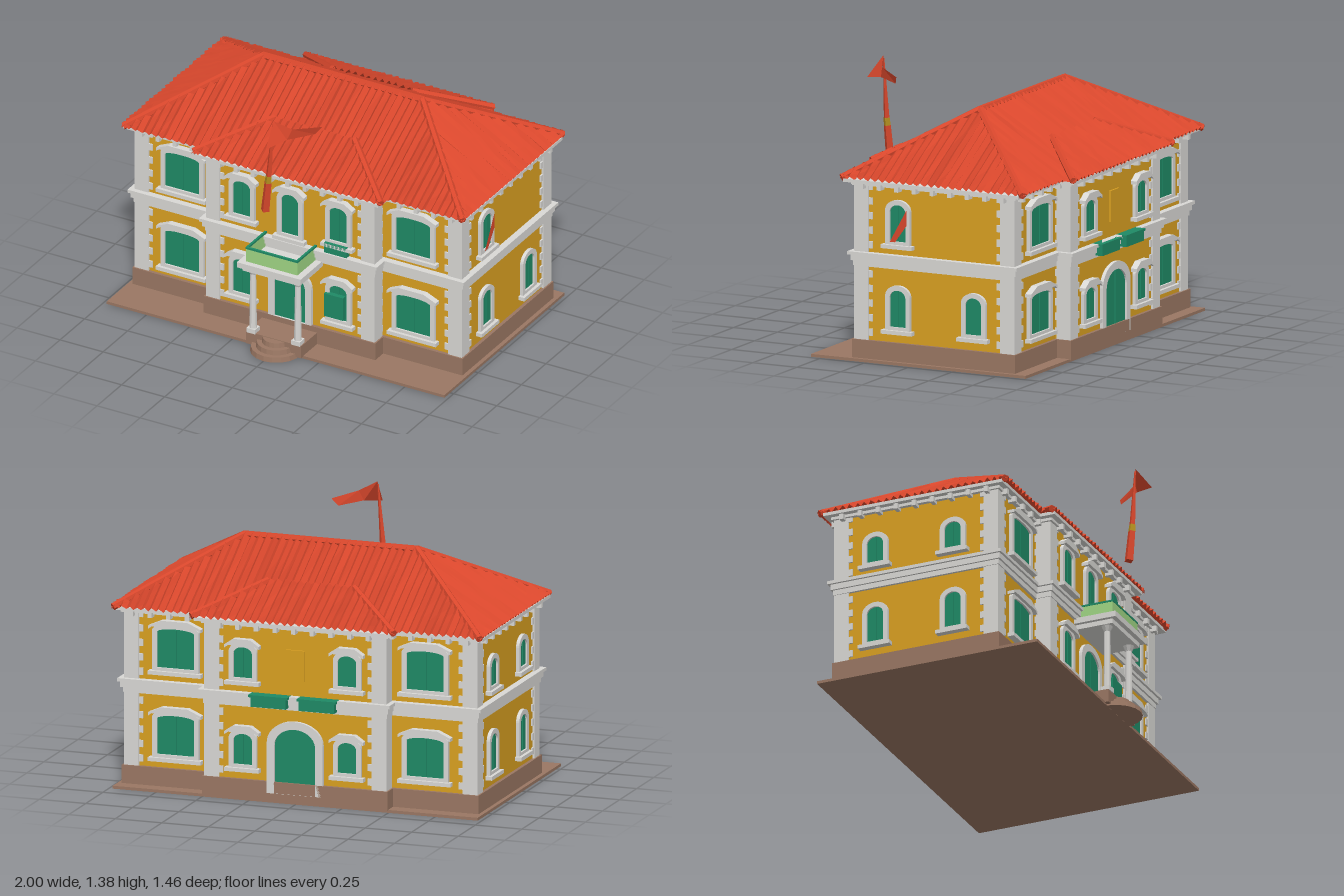
import * as THREE from 'three';

const mat = (name, color, side = THREE.FrontSide) => {
  const m = new THREE.MeshStandardMaterial({ color, side, flatShading: true });
  m.name = name;
  return m;
};
const V = (x, y, z) => new THREE.Vector3(x, y, z);

export function createModel() {
  const M = {
    wall: mat('ochre wall', 0xd9a021),
    trim: mat('white trim', 0xd9d8d5),
    green: mat('shutter green', 0x1f8a66),
    red: mat('roof red', 0xd9472c, THREE.DoubleSide),
    brown: mat('ground brown', 0x9a7763),
    pale: mat('pale green', 0xa0d684),
    gold: mat('flag gold', 0xb5901f),
  };
  const house = new THREE.Group();
  house.name = 'house';
  let seed = 7;
  const rnd = () => (seed = (seed * 16807) % 2147483647) / 2147483647 - 0.5;

  function add(parent, name, geo, m, x = 0, y = 0, z = 0) {
    const mesh = new THREE.Mesh(geo, m);
    mesh.name = name;
    mesh.position.set(x, y, z);
    parent.add(mesh);
    return mesh;
  }
  const box = (p, name, m, w, h, d, x, y, z) => add(p, name, new THREE.BoxGeometry(w, h, d), m, x, y, z);
  const extrude = (shape, depth) =>
    new THREE.ExtrudeGeometry(shape, { depth, bevelEnabled: false, curveSegments: 10 });
  function rod(p, name, m, a, b, r0, r1 = r0, sides = 6) {
    const d = b.clone().sub(a);
    const mesh = add(p, name, new THREE.CylinderGeometry(r1, r0, d.length(), sides), m);
    mesh.position.copy(a).add(b).multiplyScalar(0.5);
    mesh.quaternion.setFromUnitVectors(V(0, 1, 0), d.normalize());
  }
  function sheet(p, name, m, pts, index) {
    const g = new THREE.BufferGeometry().setFromPoints(pts);
    g.setIndex(index);
    g.computeVertexNormals();
    return add(p, name, g, m);
  }

  // Storeys follow one plan: long body with a shallow bay front and back
  const CZ = -0.125, WX = 0.94, WZ = 0.445, BX = 0.48, BZ = 0.525;
  function storey(name, m, off, y0, y1) {
    const a = WX + off, b = WZ + off, c = BX + off, d = BZ + off;
    const pts = [[-a, -b], [-c, -b], [-c, -d], [c, -d], [c, -b], [a, -b],
      [a, b], [c, b], [c, d], [-c, d], [-c, b], [-a, b]];
    const g = extrude(new THREE.Shape(pts.map((q) => new THREE.Vector2(...q))), y1 - y0);
    add(house, name, g.rotateX(-Math.PI / 2), m, 0, y0, CZ);
  }
  box(house, 'groundSlab', M.brown, 1.96, 0.015, 1.22, 0, 0.0075, -0.05);
  storey('plinth', M.brown, 0.018, 0.01, 0.11);
  storey('walls', M.wall, 0, 0.11, 0.92);
  storey('beltLower', M.trim, 0.014, 0.488, 0.515);
  storey('beltMiddle', M.trim, 0.024, 0.515, 0.545);
  storey('beltUpper', M.trim, 0.036, 0.545, 0.562);
  storey('cornice', M.trim, 0.022, 0.905, 0.925);
  storey('soffit', M.trim, 0.052, 0.92, 0.937);

  // Corner pilasters with toothed quoins
  for (const sx of [-1, 1]) for (const sz of [-1, 1])
    for (const [x, z] of [[WX, WZ], [BX, BZ]]) {
      box(house, 'cornerPilaster', M.trim, 0.08, 0.81, 0.08, sx * (x - 0.03), 0.515, CZ + sz * (z - 0.03));
      for (let y = 0.15; y < 0.9; y += 0.075)
        box(house, 'quoin', M.trim, 0.1, 0.036, 0.1, sx * (x - 0.042), y, CZ + sz * (z - 0.042));
    }

  // Brackets under the eaves
  for (const s of [-1, 1]) {
    for (let x = -0.9; x < 0.91; x += 0.1) {
      const z = Math.abs(x) < BX + 0.01 ? BZ : WZ;
      box(house, 'eaveBracket', M.trim, 0.022, 0.032, 0.045, x, 0.906, CZ + s * (z + 0.02));
    }
    for (let z = -0.4; z < 0.41; z += 0.1)
      box(house, 'eaveBracket', M.trim, 0.045, 0.032, 0.022, s * (WX + 0.02), 0.906, CZ + z);
  }

  // Ribbed tile slope: ribs climb from the eave until they meet a hip or the ridge
  function tiles(p, name, a, b, up, inset, ribs) {
    const along = b.clone().sub(a);
    const n = along.clone().cross(up).normalize();
    const pts = [], index = [], rows = 4, cols = ribs * 2;
    for (let i = 0; i <= cols; i++) {
      const s = THREE.MathUtils.clamp((i + (i % cols ? rnd() * 0.35 : 0)) / cols, 0, 1);
      const top = Math.min(1, s / inset, (1 - s) / inset);
      for (let j = 0; j <= rows; j++) {
        const lift = (i % 2 ? 0.02 : 0) + rnd() * 0.006;
        pts.push(a.clone().addScaledVector(along, s)
          .addScaledVector(up, (top * j) / rows).addScaledVector(n, lift));
        if (i < cols && j < rows) {
          const k = i * (rows + 1) + j, q = k + rows + 1;
          index.push(k, q, q + 1, k, q + 1, k + 1);
        }
      }
    }
    sheet(p, name, M.red, pts, index);
  }
  function halfRoof() {
    const g = new THREE.Group();
    g.name = 'halfRoof';
    tiles(g, 'mainSlope', V(-0.99, 0.935, 0.39), V(0.99, 0.935, 0.39), V(0, 0.305, -0.52), 0.267, 50);
    tiles(g, 'endSlope', V(0.99, 0.935, 0.39), V(0.99, 0.935, -0.65), V(-0.53, 0.305, 0), 0.5, 26);
    tiles(g, 'baySlope', V(-0.55, 0.938, 0.455), V(0.55, 0.938, 0.455), V(0, 0.15, -0.295), 0.29, 28);
    for (const s of [-1, 1]) {
      rod(g, 'hipCap', M.red, V(s * 0.985, 0.94, 0.385), V(s * 0.46, 1.245, -0.13), 0.019);
      rod(g, 'bayHipCap', M.red, V(s * 0.545, 0.945, 0.445), V(s * 0.23, 1.09, 0.16), 0.019);
      sheet(g, 'bayCheek', M.red,
        [V(s * 0.55, 0.938, 0.455), V(s * 0.23, 1.088, 0.16), V(s * 0.55, 0.938, 0.385)], [0, 1, 2]);
    }
    return g;
  }
  const backRoof = halfRoof();
  backRoof.rotation.y = Math.PI;
  backRoof.position.z = -0.26;
  house.add(halfRoof(), backRoof);
  rod(house, 'ridgeCap', M.red, V(-0.47, 1.242, -0.13), V(0.47, 1.242, -0.13), 0.02);

  // Arched openings: green leaves, white surround, pediment hood and sill
  function arch(w, h, rise, y = 0, Type = THREE.Shape) {
    const s = new Type();
    s.moveTo(-w / 2, y);
    s.lineTo(w / 2, y);
    s.lineTo(w / 2, h - rise);
    s.absellipse(0, h - rise, w / 2, rise, 0, Math.PI, false);
    s.lineTo(-w / 2, y);
    return s;
  }
  function opening(name, x, y, z, turn, w, h, rise, o = {}) {
    const g = new THREE.Group(), t = o.border ?? 0.025;
    g.name = name;
    add(g, 'shutters', extrude(arch(w, h, rise), 0.008), M.green);
    box(g, 'centreStrip', M.green, 0.008, h - 0.01, 0.006, 0, h / 2, 0.009);
    const surround = arch(w + 2 * t, h + t, rise + t * 0.6, o.door ? 0 : -t);
    surround.holes.push(arch(w, h, rise, 0.001, THREE.Path));
    add(g, 'surround', extrude(surround, 0.018), M.trim);
    if (!o.door) box(g, 'sill', M.trim, w + 0.085, 0.02, 0.035, 0, -t, 0.0175);
    if (o.hood) {
      const W = w / 2 + 0.042;
      const hood = new THREE.Shape([[-W, -0.012], [-W + 0.02, 0.002], [W - 0.02, 0.002], [W, -0.012],
        [W, 0.005], [W * 0.5, 0.036], [-W * 0.5, 0.036], [-W, 0.005]].map((q) => new THREE.Vector2(...q)));
      add(g, 'hood', extrude(hood, 0.035), M.trim, 0, h + 0.008, 0);
    }
    g.position.set(x, y, z);
    g.rotation.y = turn;
    house.add(g);
  }
  const hood = { hood: true };
  for (const [sz, turn] of [[1, 0], [-1, Math.PI]]) {
    const wingZ = CZ + sz * WZ, bayZ = CZ + sz * BZ;
    for (const sx of [-1, 1]) for (const y of [0.18, 0.63]) {
      opening('wingWindow', sx * 0.67, y, wingZ, turn, 0.2, 0.205, 0.02, hood);
      opening('bayWindow', sx * 0.28, y + 0.005, bayZ, turn, 0.1, sz > 0 ? 0.195 : 0.16, 0.035, hood);
    }
  }
  opening('balconyDoor', 0, 0.6, 0.4, 0, 0.1, 0.23, 0.045, hood);
  opening('frontDoor', 0, 0.11, 0.4, 0, 0.18, 0.27, 0.08, { door: true, border: 0.035 });
  opening('backDoor', 0, 0.05, -0.65, Math.PI, 0.22, 0.34, 0.09, { door: true, border: 0.04 });
  for (const s of [-1, 1]) for (const z of [0.08, -0.35]) {
    opening('sideWindow', s * WX, 0.19, z, s * Math.PI / 2, 0.09, 0.19, 0.04);
    if (s < 0 || z > 0)
      opening('sideWindow', s * WX, 0.63, z, s * Math.PI / 2, 0.09, s < 0 ? 0.14 : 0.19, 0.04);
  }
  box(house, 'blindPanel', M.wall, 0.1, 0.16, 0.02, 0, 0.72, -0.65);
  sheet(house, 'hangingCloth', M.red,
    [V(0.965, 0.8, 0.025), V(0.965, 0.72, 0.025), V(0.965, 0.63, 0.09), V(0.965, 0.63, 0.12)], [0, 1, 2, 0, 2, 3]);

  // Small green boxes and rear balconies
  box(house, 'openShutter', M.green, 0.11, 0.13, 0.03, 0.265, 0.265, 0.42);
  box(house, 'windowBox', M.green, 0.13, 0.055, 0.03, 0.275, 0.595, 0.42);
  for (const s of [-1, 1]) {
    box(house, 'rearBalcony', M.green, 0.19, 0.05, 0.05, s * 0.13, 0.525, -0.68);
    box(house, 'rearBalconyRail', M.green, 0.21, 0.012, 0.06, s * 0.13, 0.556, -0.68);
  }

  // Porch: floor, round steps, columns, slab and railed balcony
  box(house, 'porchFloor', M.brown, 0.32, 0.07, 0.18, 0, 0.045, 0.49);
  for (let i = 0; i < 3; i++)
    add(house, 'roundStep', new THREE.CylinderGeometry(0.13 - i * 0.03, 0.135 - i * 0.03, 0.026, 18),
      M.brown, 0, 0.014 + i * 0.025, 0.55);
  for (const s of [-1, 1]) {
    add(house, 'porchColumn', new THREE.CylinderGeometry(0.015, 0.02, 0.37, 10), M.trim, s * 0.13, 0.265, 0.56);
    box(house, 'columnBase', M.trim, 0.05, 0.025, 0.05, s * 0.13, 0.09, 0.56);
    add(house, 'columnCapital', new THREE.CylinderGeometry(0.035, 0.015, 0.04, 8), M.trim, s * 0.13, 0.43, 0.56);
    box(house, 'sideRail', M.pale, 0.008, 0.075, 0.19, s * 0.145, 0.53, 0.5);
    box(house, 'sideHandrail', M.green, 0.012, 0.01, 0.19, s * 0.145, 0.572, 0.5);
  }
  box(house, 'porchBeam', M.trim, 0.33, 0.03, 0.21, 0, 0.455, 0.5);
  box(house, 'porchSlab', M.trim, 0.37, 0.03, 0.23, 0, 0.48, 0.515);
  box(house, 'frontRail', M.pale, 0.298, 0.075, 0.008, 0, 0.53, 0.595);
  box(house, 'frontHandrail', M.green, 0.3, 0.01, 0.012, 0, 0.572, 0.595);

  // Flagpole and folded flag
  rod(house, 'flagpoleLower', M.red, V(-0.02, 0.84, 0.63), V(0, 1.01, 0.636), 0.024, 0.02, 4);
  rod(house, 'flagpoleBand', M.gold, V(0, 1.01, 0.636), V(0.005, 1.05, 0.637), 0.02, 0.017, 4);
  rod(house, 'flagpoleUpper', M.red, V(0.005, 1.05, 0.637), V(0.032, 1.36, 0.64), 0.016, 0.004, 4);
  sheet(house, 'flag', M.red,
    [V(0.035, 1.375, 0.64), V(0.04, 1.255, 0.73), V(0.1, 1.275, 0.62), V(0.12, 1.33, 0.6),
      V(0.22, 1.31, 0.47), V(0.19, 1.27, 0.49)], [0, 1, 2, 0, 2, 3, 3, 2, 5, 3, 5, 4]);
  return house;
}
